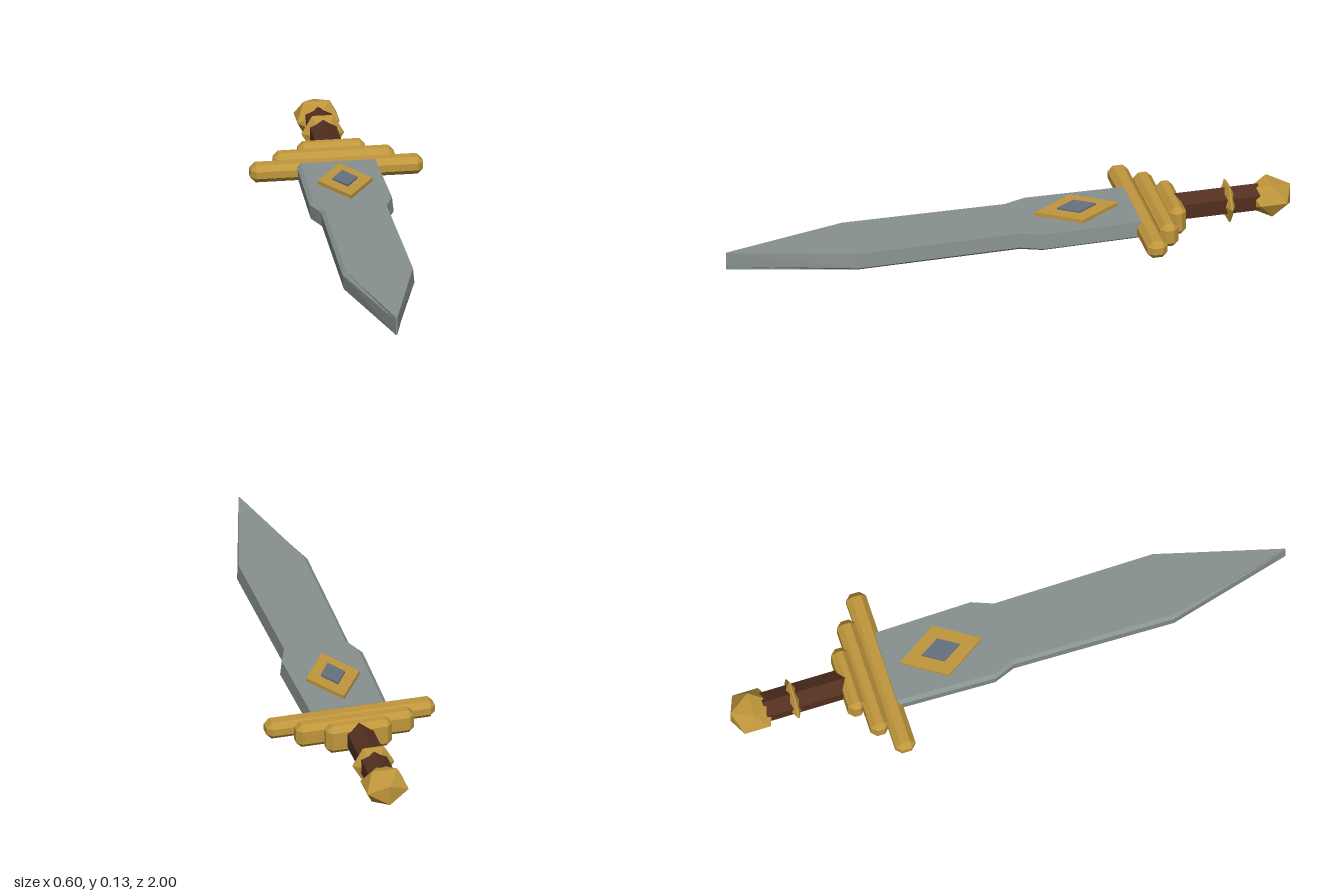
import * as THREE from 'three';
import { ConvexGeometry } from 'three/addons/geometries/ConvexGeometry.js';

const CY = 0.066; // height of the sword's long axis

// Faceted copy of a geometry
function facet(geometry) {
  const g = geometry.index ? geometry.toNonIndexed() : geometry;
  g.computeVertexNormals();
  return g;
}

// Box with all edges and corners cut off
function chamferedBox(hx, hy, hz, c) {
  const points = [];
  for (const x of [-1, 1]) for (const y of [-1, 1]) for (const z of [-1, 1]) {
    points.push(
      new THREE.Vector3(x * hx, y * (hy - c), z * (hz - c)),
      new THREE.Vector3(x * (hx - c), y * hy, z * (hz - c)),
      new THREE.Vector3(x * (hx - c), y * (hy - c), z * hz));
  }
  return new ConvexGeometry(points);
}

// Blade lofted from six-sided sections along z
function bladeGeometry() {
  const stations = [[-0.44, 0.139], [-0.09, 0.147], [-0.015, 0.117], [0.56, 0.125], [1, 0.002]];
  const h = 0.032;
  const section = [[0.9, -h], [1, -0.021], [0.96, h], [-0.9, h], [-1, 0.021], [-0.96, -h]];
  const n = section.length;
  const positions = [], index = [];
  for (const [z, w] of stations) for (const [sx, y] of section) positions.push(sx * w, y, z);
  for (let i = 0; i < stations.length - 1; i++) {
    for (let j = 0; j < n; j++) {
      const k = (j + 1) % n;
      const a = i * n + j, b = i * n + k, c = b + n, d = a + n;
      index.push(a, b, c, a, c, d);
    }
  }
  const last = (stations.length - 1) * n;
  for (let j = 1; j < n - 1; j++) {
    index.push(0, j + 1, j);
    index.push(last, last + j, last + j + 1);
  }
  const g = new THREE.BufferGeometry();
  g.setAttribute('position', new THREE.Float32BufferAttribute(positions, 3));
  g.setIndex(index);
  return facet(g);
}

// Flat diamond lying across the blade
function diamond(hx, hz, height) {
  return facet(new THREE.CylinderGeometry(1, 1, height, 4).scale(hx, 1, hz));
}

export function createModel() {
  const material = (name, color) => {
    const m = new THREE.MeshStandardMaterial({ color });
    m.name = name;
    return m;
  };
  const steel = material('steel', 0x87918f);
  const gold = material('gold', 0xbf963c);
  const leather = material('leather', 0x522f1f);
  const slate = material('slate', 0x667080);

  const sword = new THREE.Group();
  sword.name = 'sword';
  const add = (name, geometry, mat, z = 0) => {
    const mesh = new THREE.Mesh(geometry, mat);
    mesh.name = name;
    mesh.position.set(0, CY, z);
    sword.add(mesh);
  };

  add('blade', bladeGeometry(), steel);

  // Diamond ornament, showing on both faces of the blade
  add('ornamentPlate', diamond(0.095, 0.148, 0.09), gold, -0.242);
  add('ornamentGem', diamond(0.043, 0.069, 0.104), slate, -0.242);

  // Stepped guard
  const guard = [[0.3, 0.0315, 0.036, -0.459], [0.21, 0.0435, 0.033, -0.523], [0.117, 0.0525, 0.03, -0.577]];
  guard.forEach(([hx, hy, hz, z], i) =>
    add('guardBar' + (i + 1), chamferedBox(hx, hy, hz, 0.019), gold, z));

  // Six-sided grip with a sharp collar
  add('grip', facet(new THREE.CylinderGeometry(0.053, 0.053, 0.3, 6).rotateX(Math.PI / 2)), leather, -0.735);
  const profile = [[0.034, -0.022], [0.074, -0.003], [0.074, 0.003], [0.034, 0.022]]
    .map(([r, y]) => new THREE.Vector2(r, y));
  add('gripCollar', facet(new THREE.LatheGeometry(profile, 6, Math.PI / 6).rotateX(Math.PI / 2)), gold, -0.777);

  // Faceted pommel
  add('pommel', facet(new THREE.IcosahedronGeometry(1, 0).scale(0.0865, 0.0695, 0.0885)), gold, -0.925);

  return sword;
}
